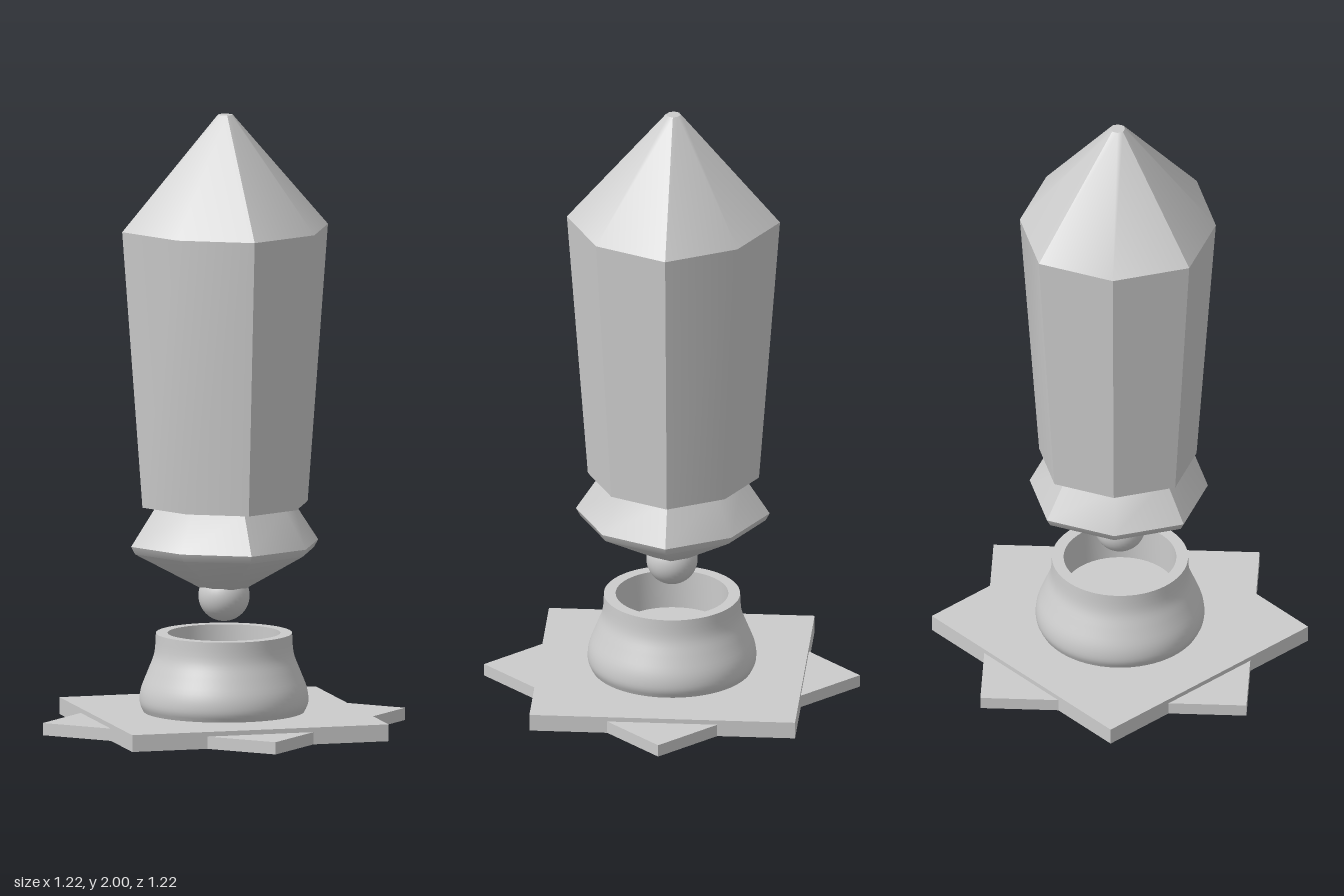
import * as THREE from 'three';
import { toCreasedNormals } from 'three/addons/utils/BufferGeometryUtils.js';

const material = new THREE.MeshStandardMaterial({ color: 0xcccccc });

function part(name, geometry, x = 0, y = 0, z = 0) {
  const mesh = new THREE.Mesh(geometry, material);
  mesh.name = name;
  mesh.position.set(x, y, z);
  return mesh;
}

// Slightly uneven octagon as [x, z], scaled by the radius of each level
const section = [[1, 0], [0.742, 0.736], [0, 0.96], [-0.742, 0.736],
  [-1, 0], [-0.742, -0.736], [0, -0.96], [0.742, -0.736]];

// Faceted solid through levels [radius, y], listed from the bottom up
function facetedSolid(levels) {
  const n = section.length;
  const positions = [];
  const corner = ([r, y], k) => [section[k % n][0] * r, y, section[k % n][1] * r];
  const [bottom, top] = [levels[0], levels[levels.length - 1]];
  for (let k = 0; k < n; k++) {
    for (let i = 0; i < levels.length - 1; i++) {
      const a = corner(levels[i], k), b = corner(levels[i], k + 1);
      const c = corner(levels[i + 1], k + 1), d = corner(levels[i + 1], k);
      positions.push(...a, ...d, ...b, ...b, ...d, ...c);
    }
    // End caps
    positions.push(0, bottom[1], 0, ...corner(bottom, k), ...corner(bottom, k + 1));
    positions.push(0, top[1], 0, ...corner(top, k + 1), ...corner(top, k));
  }
  const geometry = new THREE.BufferGeometry();
  geometry.setAttribute('position', new THREE.Float32BufferAttribute(positions, 3));
  return toCreasedNormals(geometry, THREE.MathUtils.degToRad(36));
}

export function createModel() {
  const model = new THREE.Group();
  model.name = 'floatingCrystal';

  // Eight-pointed base from two square slabs
  model.add(part('squarePlate', new THREE.BoxGeometry(0.86, 0.04, 0.86), 0, 0.02, 0));
  const diamond = part('diamondPlate', new THREE.BoxGeometry(0.86, 0.055, 0.86), 0, 0.0275, 0);
  diamond.rotation.y = Math.PI / 4;
  model.add(diamond);

  // Flared pedestal with a round recess in its top
  const flare = new THREE.SplineCurve([[0.26, 0.055], [0.272, 0.085], [0.268, 0.13],
    [0.245, 0.19], [0.225, 0.245], [0.22, 0.31]].map(p => new THREE.Vector2(...p)));
  const profile = [...flare.getPoints(20),
    ...[[0.182, 0.31], [0.182, 0.18], [0, 0.18]].map(p => new THREE.Vector2(...p))];
  model.add(part('pedestal', toCreasedNormals(new THREE.LatheGeometry(profile, 64), 0.6)));

  // Ball under the crystal's holder
  model.add(part('ball', new THREE.SphereGeometry(0.083, 32, 24), 0, 0.432, 0));

  // Faceted holder and crystal
  model.add(part('holder', facetedSolid([[0.08, 0.46], [0.287, 0.577], [0.3, 0.602], [0.22, 0.73]]), 0, 0, -0.004));
  model.add(part('crystal', facetedSolid([[0.265, 0.728], [0.33, 1.63], [0.024, 2]]), 0, 0, -0.007));

  return model;
}
